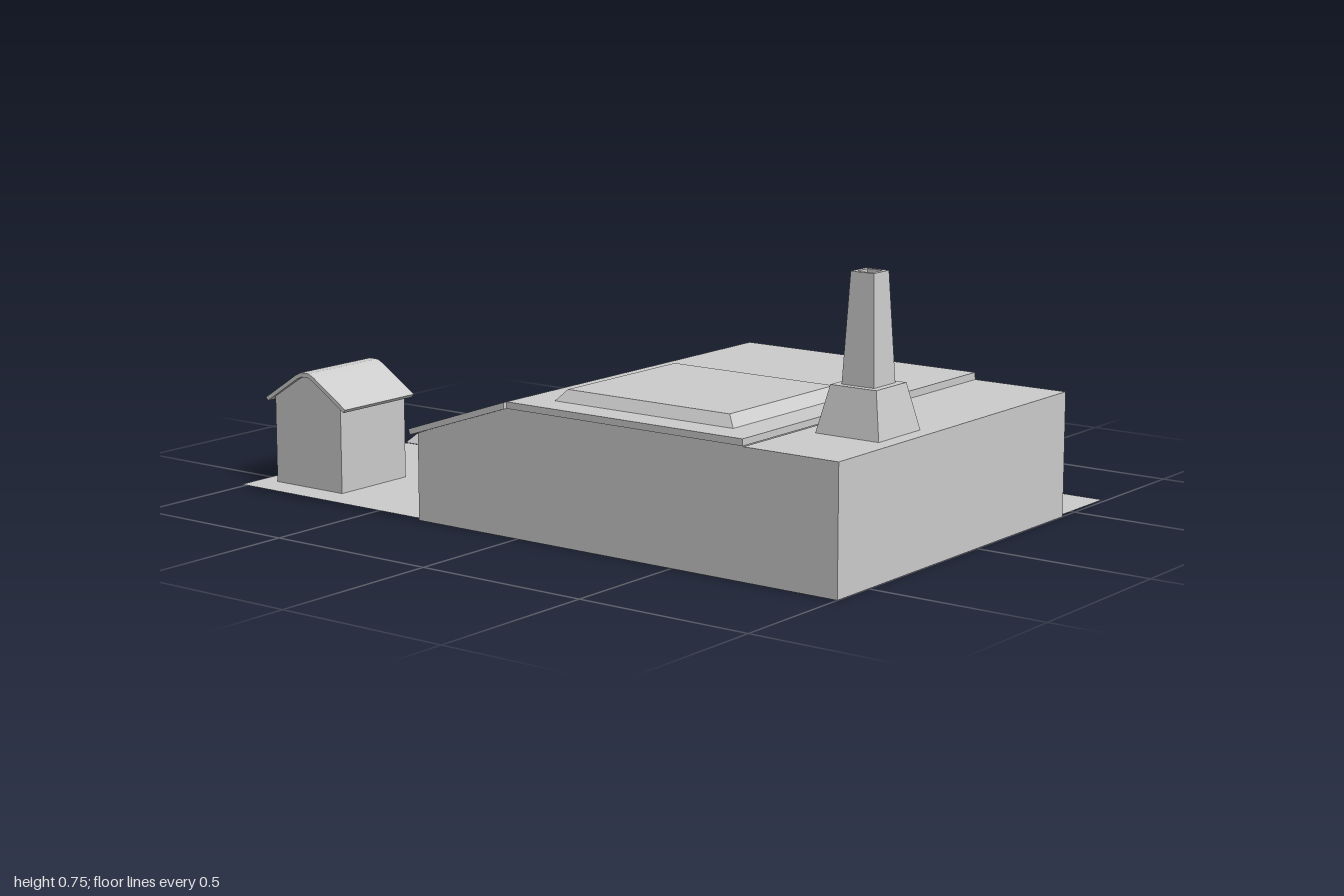
import * as THREE from 'three';

const material = new THREE.MeshStandardMaterial({ color: 0xcccccc, flatShading: true, side: THREE.DoubleSide });

function add(parent, name, geometry, x = 0, y = 0, z = 0) {
  const mesh = new THREE.Mesh(geometry, material);
  mesh.name = name;
  mesh.position.set(x, y, z);
  parent.add(mesh);
  return mesh;
}

// Box given by its limits on each axis
function block(parent, name, x0, x1, y0, y1, z0, z1) {
  return add(parent, name, new THREE.BoxGeometry(x1 - x0, y1 - y0, z1 - z0),
    (x0 + x1) / 2, (y0 + y1) / 2, (z0 + z1) / 2);
}

const polygon = (points) => new THREE.Shape(points.map(([x, y]) => new THREE.Vector2(x, y)));
const rectangle = (x0, x1, y0, y1) => polygon([[x0, y0], [x1, y0], [x1, y1], [x0, y1]]);

// Profile in x and y, extruded from z0 to z1
function prism(parent, name, shape, z0, z1) {
  const geometry = new THREE.ExtrudeGeometry(shape, { depth: z1 - z0, bevelEnabled: false });
  return add(parent, name, geometry, 0, 0, z0);
}

// Skin over rectangular sections [x0, x1, z0, z1, y]; the last one is closed
function loft(parent, name, sections) {
  const rings = sections.map(([x0, x1, z0, z1, y]) =>
    [[x0, y, z1], [x1, y, z1], [x1, y, z0], [x0, y, z0]]);
  const positions = [];
  const quad = (a, b, c, d) => positions.push(...a, ...b, ...c, ...a, ...c, ...d);
  for (let k = 0; k + 1 < rings.length; k++) {
    for (let i = 0; i < 4; i++) {
      const j = (i + 1) % 4;
      quad(rings[k][i], rings[k][j], rings[k + 1][j], rings[k + 1][i]);
    }
  }
  quad(...rings[rings.length - 1]);
  const geometry = new THREE.BufferGeometry();
  geometry.setAttribute('position', new THREE.Float32BufferAttribute(positions, 3));
  geometry.computeVertexNormals();
  return add(parent, name, geometry);
}

// Square section around a centre
const square = (x, z, half, y) => [x - half, x + half, z - half, z + half, y];

function buildGround(parent) {
  // Plot in x and -z, left open under the house, pool and shed
  const plot = polygon([[-1, -0.635], [-0.34, -0.635], [-0.34, 0.05], [1, 0.05],
    [1, 0.65], [-0.345, 0.65], [-0.345, 0.05], [-1, 0.05]]);
  plot.holes.push(rectangle(-0.945, -0.7, -0.55, -0.29));
  add(parent, 'ground', new THREE.ShapeGeometry(plot).rotateX(-Math.PI / 2), 0, 0.006, 0);

  // Sloped outer edge, flat rim, inner sides and floor
  loft(parent, 'pool', [
    [-1, -0.345, -0.65, -0.045, 0.008],
    [-0.975, -0.37, -0.627, -0.067, 0.034],
    [-0.935, -0.41, -0.597, -0.1, 0.034],
    [-0.935, -0.41, -0.597, -0.1, 0.008],
  ]);
}

function buildHouse(parent) {
  const house = new THREE.Group();
  house.name = 'house';
  parent.add(house);

  // Front wall with the sloped shoulder of the wing
  const front = polygon([[-0.34, 0], [1, 0], [1, 0.34], [0.72, 0.34], [0.72, 0.35],
    [-0.03, 0.35], [-0.34, 0.237]]);
  add(house, 'frontWall', new THREE.ShapeGeometry(front), 0, 0, 0.635);

  // Back wall with a window opening in the wing
  const back = polygon([[-0.34, 0], [0.72, 0], [0.72, 0.345], [-0.03, 0.345], [-0.34, 0.237]]);
  back.holes.push(rectangle(-0.235, -0.115, 0.1, 0.21));
  prism(house, 'backWall', back, -0.047, -0.02);
  block(house, 'windowPane', -0.24, -0.11, 0.095, 0.215, -0.022, -0.018);

  // Side walls
  const sideWall = (name, x, z0, z1, height) =>
    add(house, name, new THREE.PlaneGeometry(z1 - z0, height).rotateY(Math.PI / 2),
      x, height / 2, (z0 + z1) / 2);
  sideWall('wingSideWall', -0.34, -0.047, 0.635, 0.238);
  sideWall('outerSideWall', 1, -0.437, 0.635, 0.34);
  sideWall('porchSideWall', 0.72, -0.437, -0.03, 0.345);
  add(house, 'sideBlockBackWall', new THREE.PlaneGeometry(0.28, 0.34).rotateY(Math.PI), 0.86, 0.17, -0.437);
  add(house, 'sideBlockRoof', new THREE.PlaneGeometry(0.28, 1.072).rotateX(-Math.PI / 2), 0.86, 0.34, 0.099);

  // Main roof runs out over the porch; the wing roof slopes down
  block(house, 'mainRoof', -0.03, 0.72, 0.342, 0.36, -0.435, 0.638);
  prism(house, 'wingRoof', polygon([[-0.03, 0.36], [-0.36, 0.248], [-0.355, 0.233], [-0.03, 0.342]]), -0.053, 0.65);

  // Raised panel on the roof
  loft(house, 'roofPanel', [
    [0.062, 0.63, 0.05, 0.553, 0.36],
    [0.088, 0.604, 0.075, 0.532, 0.39],
  ]);

  // Frame projecting into the porch
  const frame = new THREE.Group();
  frame.name = 'porchFrame';
  house.add(frame);
  for (const x of [0.075, 0.595]) block(frame, 'porchPost', x, x + 0.045, 0, 0.342, -0.16, -0.047);
  block(frame, 'porchSill', 0.12, 0.595, 0, 0.05, -0.15, -0.047);
}

function buildChimney(parent) {
  const x = 0.862, z = 0.302;
  // Tapered foot, tapered stack and open flue
  loft(parent, 'chimney', [
    square(x, z, 0.094, 0.34),
    square(x, z, 0.068, 0.462),
    square(x, z, 0.048, 0.462),
    square(x, z, 0.034, 0.745),
    square(x, z, 0.022, 0.745),
    square(x, z, 0.022, 0.65),
  ]);
}

function buildShed(parent) {
  const shed = new THREE.Group();
  shed.name = 'shed';
  shed.position.x = -0.822;
  parent.add(shed);

  // Gable walls and side walls, open below
  const gable = polygon([[-0.123, 0], [0.123, 0], [0.123, 0.25], [0.015, 0.318], [-0.015, 0.318], [-0.123, 0.25]]);
  for (const z of [0.29, 0.55]) add(shed, 'shedGable', new THREE.ShapeGeometry(gable), 0, 0, z);
  for (const x of [-0.123, 0.123]) {
    add(shed, 'shedSide', new THREE.PlaneGeometry(0.26, 0.25).rotateY(Math.PI / 2), x, 0.125, 0.42);
  }

  // Thin roof with a blunted ridge
  const half = [[0.15, 0.245], [0.035, 0.32], [0.015, 0.33]];
  const under = [[0.012, 0.318], [0.03, 0.31], [0.143, 0.236]];
  const mirror = (points) => points.map(([x, y]) => [-x, y]).reverse();
  prism(shed, 'shedRoof', polygon([...half, ...mirror(half), ...mirror(under), ...under].map((p) => p)), 0.28, 0.56);
}

export function createModel() {
  const model = new THREE.Group();
  model.name = 'houseWithYard';
  buildGround(model);
  buildHouse(model);
  buildChimney(model);
  buildShed(model);
  return model;
}
